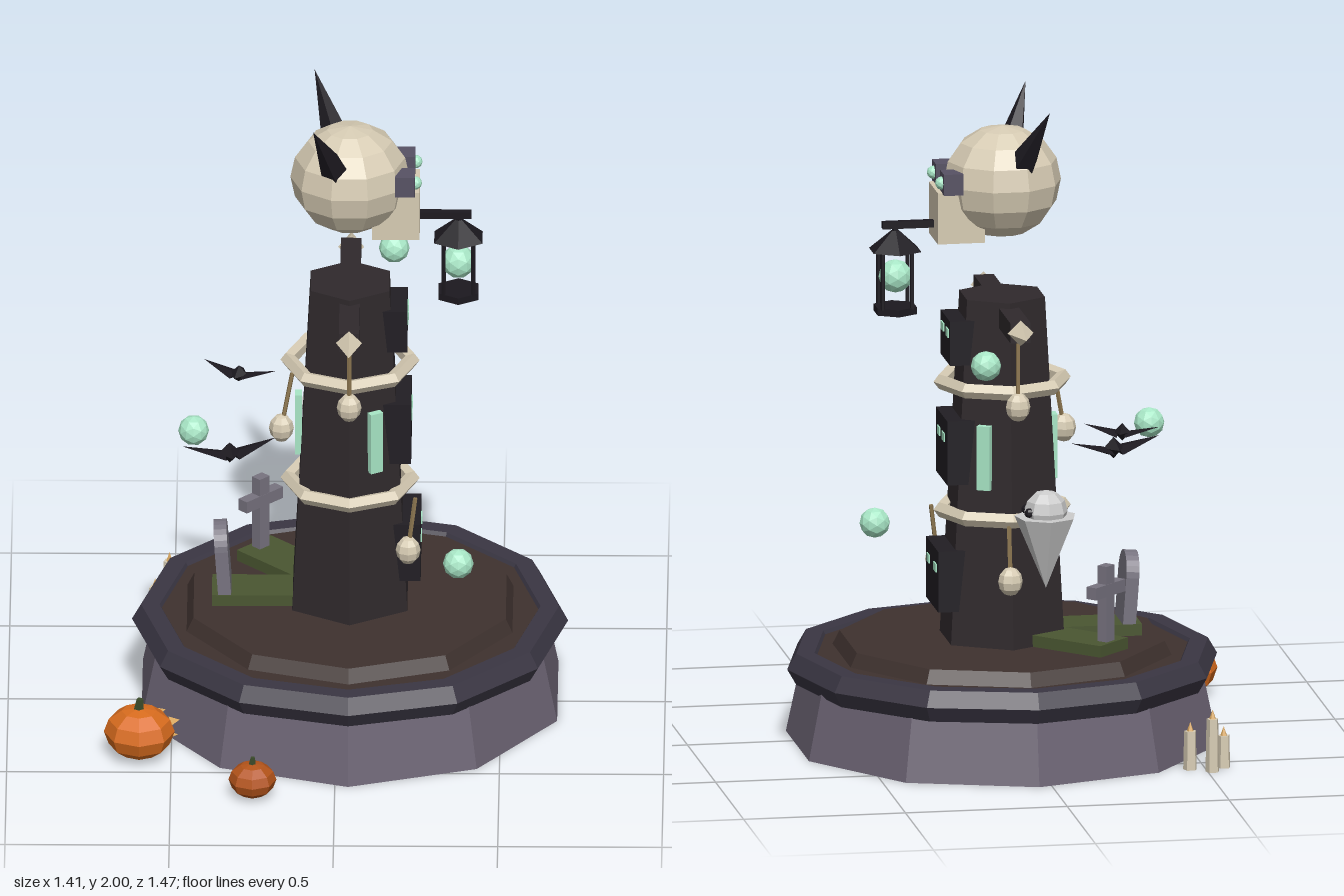
import * as THREE from 'three';

const C = {
  stone: 0x6a6272, rim: 0x3a3643, soil: 0x3e312e, tower: 0x2f292c, panel: 0x211e23, bone: 0xd6cbb3,
  glow: 0xa8e6c6, black: 0x1c191f, socket: 0x575264, grave: 0x77737f, grass: 0x4a5631, rope: 0x8c7650,
  orange: 0xd96c1e, rust: 0xb4541a, stem: 0x3a4a2a, gold: 0xd9a860, ghost: 0xe4e4e4,
};
const V = (x, y, z) => new THREE.Vector3(x, y, z);
const UP = V(0, 1, 0);
const materials = {};
const mat = (color) => (materials[color] ??= new THREE.MeshStandardMaterial({ color, flatShading: true }));

function add(parent, name, geo, color, [x, y, z] = [0, 0, 0], [rx, ry, rz] = [0, 0, 0]) {
  const m = new THREE.Mesh(geo, mat(color));
  m.name = name;
  m.position.set(x, y, z);
  m.rotation.set(rx, ry, rz);
  parent.add(m);
  return m;
}
function group(parent, name, x = 0, y = 0, z = 0, ry = 0) {
  const g = new THREE.Group();
  g.name = name;
  g.position.set(x, y, z);
  g.rotation.y = ry;
  parent.add(g);
  return g;
}
const box = (w, h, d) => new THREE.BoxGeometry(w, h, d);
const cyl = (rt, rb, h, n) => new THREE.CylinderGeometry(rt, rb, h, n);
const ball = (r, w = 8, h = 6) => new THREE.SphereGeometry(r, w, h);

// tapered rod from point a to point b
function rod(parent, name, a, b, ra, rb, sides, color) {
  const d = b.clone().sub(a);
  const m = add(parent, name, cyl(rb, ra, d.length(), sides), color);
  m.position.copy(a).addScaledVector(d, 0.5);
  m.quaternion.setFromUnitVectors(UP, d.normalize());
  return m;
}

function base(p) {
  add(p, 'stoneBase', cyl(0.61, 0.665, 0.26, 10), C.stone, [0, 0.13, 0]);
  add(p, 'baseRim', new THREE.TorusGeometry(0.608, 0.056, 6, 12), C.rim, [0, 0.24, 0], [Math.PI / 2, 0, 0]);
  add(p, 'outerSoil', cyl(0.6, 0.6, 0.03, 12), C.soil, [0, 0.262, 0]);
  add(p, 'innerSoil', cyl(0.5, 0.53, 0.06, 10), C.soil, [0, 0.29, 0]);
}

function charm(p, from, to) {
  rod(p, 'charmRope', from, to, 0.007, 0.007, 5, C.rope);
  add(p, 'charm', ball(0.038), C.bone, to.toArray()).scale.y = 1.18;
}

function tower(p) {
  add(p, 'towerBody', cyl(0.139, 0.203, 1.08, 6), C.tower, [0, 0.85, 0]);
  for (const y of [0.722, 1.122])
    add(p, 'boneRing', new THREE.TorusGeometry(0.188, 0.024, 5, 8), C.bone, [0, y, 0], [Math.PI / 2, 0, 0]);

  // face panels: outer x, centre y, width, height, eye spacing
  for (const [x, y, w, h, e] of [[0.175, 1.258, 0.17, 0.138, 0.042], [0.187, 0.92, 0.205, 0.2, 0.042], [0.216, 0.52, 0.217, 0.19, 0.061]]) {
    add(p, 'facePanel', box(0.1, h, w), C.panel, [x - 0.05, y, 0]);
    for (const s of [-1, 1])
      add(p, 'panelEye', box(0.008, 0.026, 0.042), C.glow, [x, y + h * 0.2, s * e]);
  }
  // slit windows
  for (const a of [Math.PI / 3, Math.PI, -Math.PI / 3])
    add(p, 'slitWindow', box(0.022, 0.2, 0.042), C.glow, [0.157 * Math.cos(a), 0.91, 0.157 * Math.sin(a)], [0, -a, 0]);

  // crossbeam with bone tips
  add(p, 'crossbeam', box(0.062, 0.062, 0.66), C.tower, [0, 1.342, 0]);
  for (const s of [-1, 1]) {
    rod(p, 'beamTip', V(0, 1.342, s * 0.33), V(0, 1.342, s * 0.435), 0.04, 0, 4, C.bone);
    charm(p, V(0, 1.32, s * 0.285), V(0, 1.1, s * 0.285));
  }
  charm(p, V(-0.175, 1.12, 0.09), V(-0.208, 0.94, 0.1));
  charm(p, V(0.2, 0.71, 0.115), V(0.178, 0.54, 0.128));
  charm(p, V(0.012, 0.71, -0.19), V(0.012, 0.54, -0.218));
}

function head(p) {
  const g = group(p, 'skull');
  add(g, 'cranium', ball(0.173, 10, 8), C.bone, [0, 1.743, 0]).scale.x = 1.05;
  add(g, 'snout', box(0.145, 0.16, 0.163), C.bone, [0.14, 1.65, 0]);
  for (const s of [-1, 1]) {
    add(g, 'eyeSocket', box(0.06, 0.066, 0.07), C.socket, [0.168, 1.76, s * 0.073]);
    add(g, 'eye', new THREE.IcosahedronGeometry(0.021, 1), C.glow, [0.199, 1.76, s * 0.073]);
    rod(g, 'horn', V(-0.045, 1.82, s * 0.115), V(-0.11, 2, s * 0.217), 0.045, 0, 5, C.black);
  }
}

function lantern(p) {
  const g = group(p, 'lantern', 0.33, 0, 0);
  add(g, 'lanternArm', box(0.17, 0.022, 0.022), C.black, [-0.045, 1.618, 0]);
  add(g, 'lanternHook', cyl(0.01, 0.01, 0.05, 5), C.black, [0, 1.6, 0]);
  add(g, 'lanternRoof', cyl(0.012, 0.085, 0.062, 6), C.black, [0, 1.57, 0]);
  add(g, 'lanternFloor', cyl(0.07, 0.07, 0.022, 6), C.black, [0, 1.355, 0]);
  add(g, 'lanternLight', new THREE.IcosahedronGeometry(0.052, 1), C.glow, [0, 1.458, 0]);
  for (const x of [-0.045, 0.045]) for (const z of [-0.04, 0.04])
    add(g, 'lanternPost', cyl(0.007, 0.007, 0.18, 5), C.black, [x, 1.452, z]);
}

function graves(root) {
  // rounded headstone
  const a = group(root, 'headstoneGrave', -0.255, 0.32, -0.07);
  add(a, 'graveMound', box(0.25, 0.036, 0.145), C.grass, [0, 0.018, 0]);
  const s = new THREE.Shape();
  s.moveTo(-0.072, 0);
  s.lineTo(0.072, 0);
  s.lineTo(0.072, 0.16);
  s.absarc(0, 0.16, 0.072, 0, Math.PI, false);
  const geo = new THREE.ExtrudeGeometry(s, { depth: 0.04, bevelEnabled: false, curveSegments: 6 });
  geo.translate(0, 0, -0.02);
  const holder = group(a, 'headstoneTilt', -0.085, 0.02, 0);
  holder.rotation.z = 0.07;
  add(holder, 'headstone', geo, C.grave, [0, 0, 0], [0, Math.PI / 2, 0]);

  // cross
  const b = group(root, 'crossGrave', -0.16, 0.32, -0.265, -Math.PI / 4);
  add(b, 'graveMound', box(0.27, 0.036, 0.145), C.grass, [0, 0.018, 0]);
  add(b, 'crossPost', box(0.034, 0.26, 0.042), C.grave, [-0.105, 0.142, 0]);
  add(b, 'crossArm', box(0.036, 0.038, 0.155), C.grave, [-0.105, 0.197, 0]);
}

function bat(root, x, y, z, ry, size) {
  const g = group(root, 'bat', x, y, z, ry);
  g.scale.setScalar(size);
  add(g, 'batBody', new THREE.OctahedronGeometry(0.03), C.black).scale.z = 1.5;
  for (const s of [-1, 1]) {
    const wing = rod(g, 'batWing', V(s * 0.015, -0.008, 0), V(s * 0.13, 0.026, -0.012), 0.042, 0, 4, C.black);
    wing.scale.x = 0.22;
  }
}

function ghost(root) {
  const g = group(root, 'ghost', -0.025, 0, -0.475);
  add(g, 'ghostBody', new THREE.ConeGeometry(0.096, 0.225, 7), C.ghost, [0, 0.673, 0], [Math.PI, 0, 0]);
  add(g, 'ghostHead', ball(0.067), C.ghost, [0, 0.8, 0]);
  for (const s of [-1, 1]) add(g, 'ghostEye', ball(0.015, 6, 5), C.black, [0.056, 0.803, s * 0.028]);
}

function pumpkin(root, x, z, r, color, carved) {
  const g = group(root, 'pumpkin', x, 0, z);
  add(g, 'pumpkinBody', ball(r, 8, 6), color, [0, r * 0.78, 0]).scale.y = 0.75;
  add(g, 'pumpkinStem', cyl(r * 0.1, r * 0.16, r * 0.4, 5), C.stem, [0, r * 1.6, 0], [0, 0, -0.1]);
  if (!carved) return;
  // carved eyes and teeth
  const f = group(g, 'pumpkinFace', 0, 0, 0, 0.55);
  for (const s of [-1, 1])
    rod(f, 'carvedEye', V(0.085, 0.11, s * 0.038), V(0.118, 0.112, s * 0.042), 0.018, 0, 3, C.gold);
  for (const t of [-1, 0, 1])
    rod(f, 'carvedTooth', V(0.085, 0.062, t * 0.03), V(0.118, 0.058, t * 0.032), 0.015, 0, 3, C.gold);
}

export function createModel() {
  const root = new THREE.Group();
  root.name = 'hauntedTower';
  const island = group(root, 'island', 0.04, 0, -0.07);
  base(island);
  tower(island);
  head(island);
  lantern(island);
  graves(root);
  ghost(root);
  bat(root, -0.3, 0.985, -0.25, -0.35, 0.9);
  bat(root, -0.325, 0.865, 0.05, 0.22, 1.12);
  pumpkin(root, -0.597, 0.39, 0.108, C.orange, true);
  pumpkin(root, -0.25, 0.66, 0.073, C.rust, false);

  // floating lights
  for (const pos of [[-0.435, 0.94, 0.05], [0.373, 0.605, 0.28], [0.17, 1.275, -0.532]])
    add(root, 'floatingLight', new THREE.IcosahedronGeometry(0.047, 1), C.glow, pos);

  // candles
  for (const [x, z, h] of [[-0.558, -0.57, 0.1], [-0.515, -0.62, 0.165], [-0.453, -0.58, 0.12]]) {
    add(root, 'candle', cyl(0.019, 0.022, h, 5), C.bone, [x, h / 2, z]);
    add(root, 'candleFlame', new THREE.ConeGeometry(0.011, 0.03, 5), C.gold, [x, h + 0.014, z]);
  }
  return root;
}
